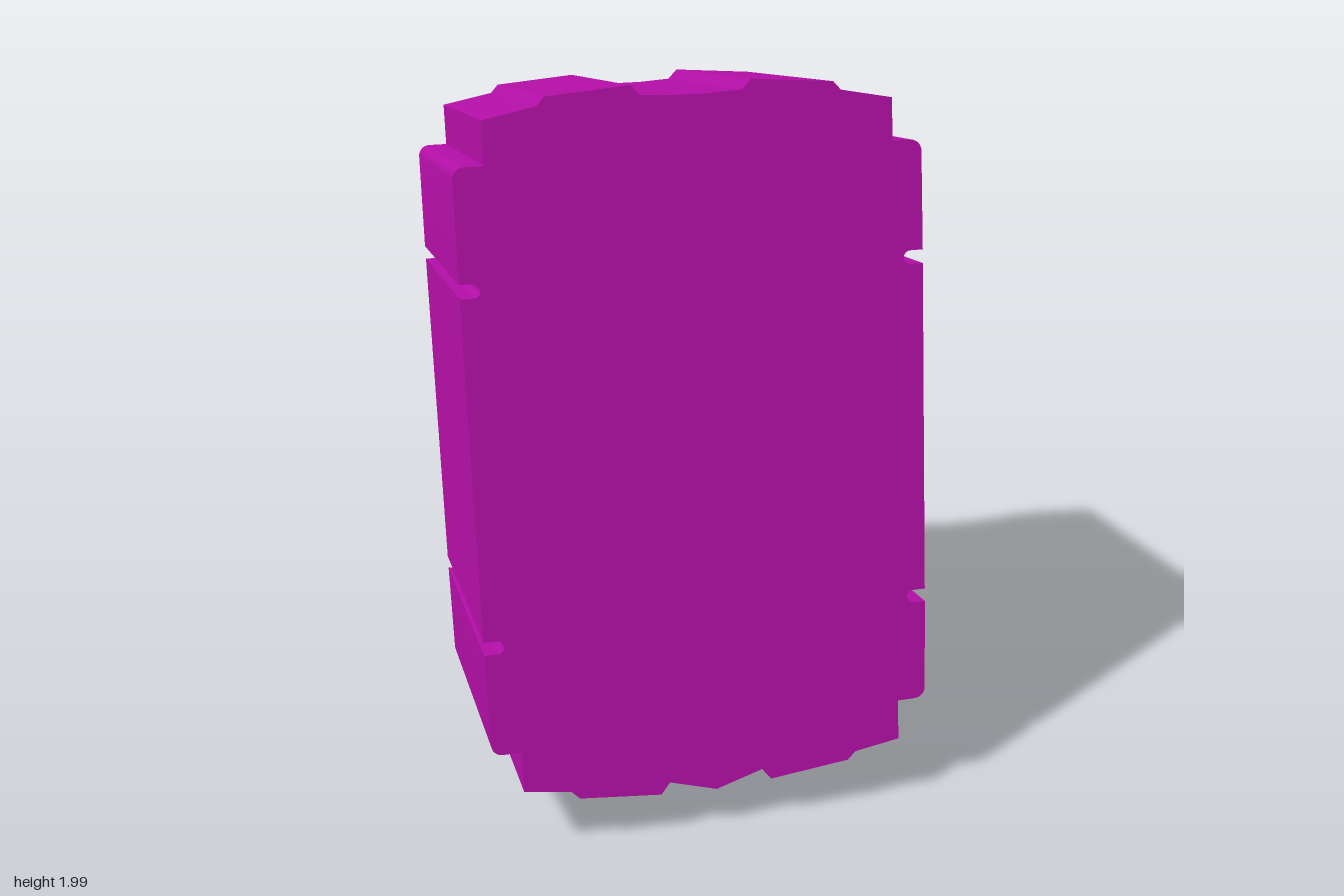
import * as THREE from 'three';
import { toCreasedNormals } from 'three/addons/utils/BufferGeometryUtils.js';

const DEPTH = 0.765;

// points along an arc, angles in degrees
function arc(cx, cy, r, from, to, steps = 8) {
  return Array.from({ length: steps + 1 }, (_, i) => {
    const t = THREE.MathUtils.degToRad(from + (to - from) * i / steps);
    return [cx + r * Math.cos(t), cy + r * Math.sin(t)];
  });
}

// round-ended slot cut into the side edge at height y, listed downwards
function slot(y) {
  const r = 0.018;
  return [[0.608, y + r], ...arc(0.573, y, r, 90, 270), [0.608, y - r]];
}

// right half of the outline, from top centre to bottom centre
function halfOutline() {
  const r = 0.03;
  return [
    // stepped crown with a shallow middle recess
    [0, 0.917], [0.045, 0.917], [0.13, 0.922], [0.155, 0.947],
    [0.37, 0.93], [0.39, 0.908], [0.527, 0.882],
    // notched shoulder with a rounded corner
    [0.527, 0.772], ...arc(0.606 - r, 0.772 - r, r, 90, 0),
    ...slot(0.468), ...slot(-0.466),
    ...arc(0.606 - r, -0.765 + r, r, 0, -90), [0.527, -0.765],
    // stepped base with a pointed middle tooth
    [0.527, -0.878], [0.4, -0.898], [0.378, -0.92],
    [0.155, -0.943], [0.13, -0.911], [0, -0.95],
  ];
}

export function createModel() {
  const group = new THREE.Group();
  group.name = 'notchedBlock';

  const right = halfOutline();
  const left = right.slice(1, -1).reverse().map(([x, y]) => [-x, y]);
  const outline = [...right, ...left].map(([x, y]) => new THREE.Vector2(x, y));

  let geometry = new THREE.ExtrudeGeometry(new THREE.Shape(outline), { depth: DEPTH, bevelEnabled: false });
  geometry.translate(0, 0, -DEPTH / 2);
  geometry = toCreasedNormals(geometry, 0.45);

  const block = new THREE.Mesh(geometry, new THREE.MeshStandardMaterial({ color: 0xb30fa6 }));
  block.name = 'block';

  // the block leans back and turns slightly to one side
  const front = new THREE.Vector3(-0.118, 0.157, 0.981).normalize();
  const side = new THREE.Vector3().crossVectors(new THREE.Vector3(0.017, 0.987, -0.158), front).normalize();
  const up = new THREE.Vector3().crossVectors(front, side);
  block.quaternion.setFromRotationMatrix(new THREE.Matrix4().makeBasis(side, up, front));
  block.position.set(0, 1.003, 0);

  group.add(block);
  return group;
}
